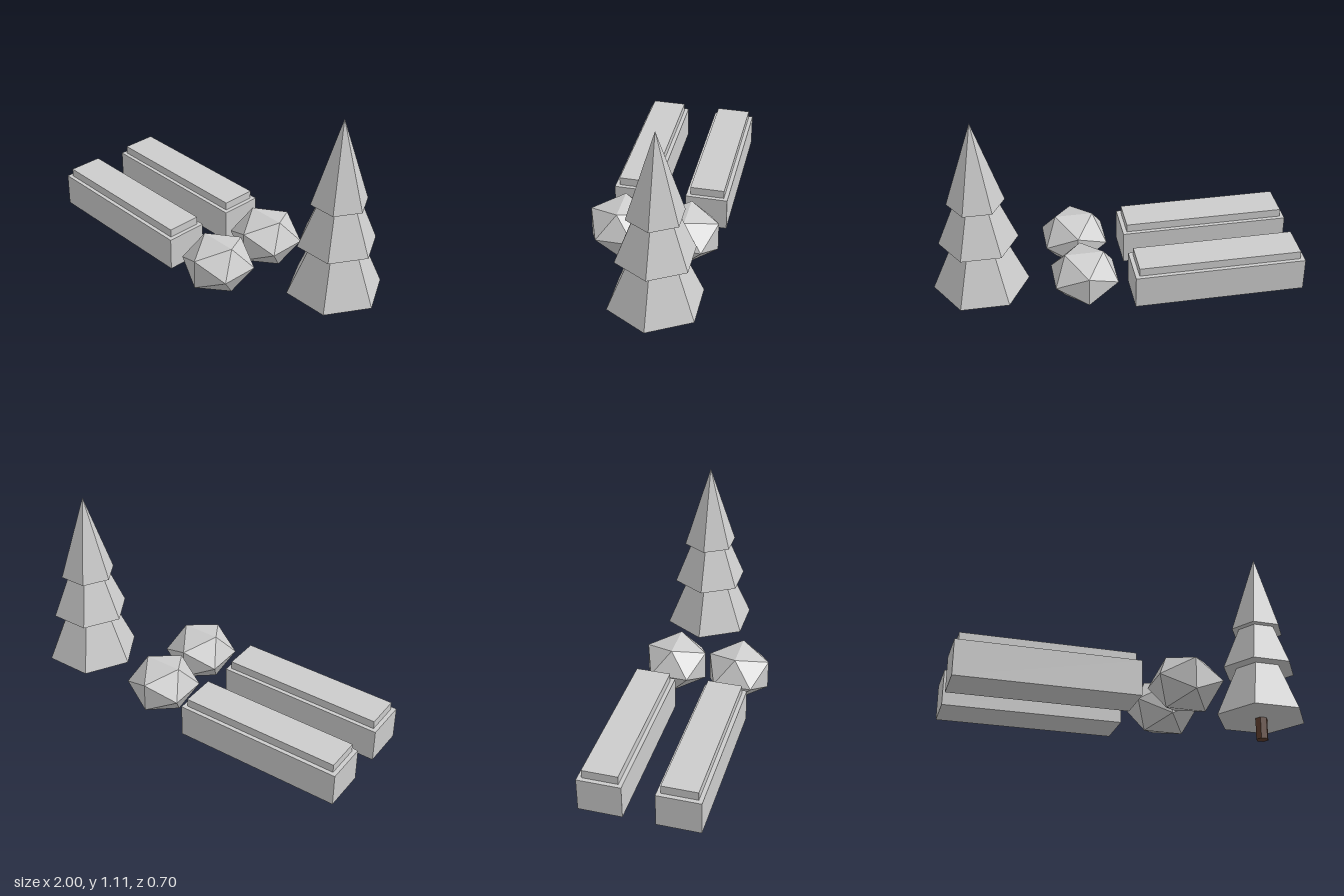
import * as THREE from 'three';

export function createModel() {
  const model = new THREE.Group();
  model.name = 'gardenSet';

  const grey = new THREE.MeshStandardMaterial({ color: 0xcccccc, flatShading: true });
  grey.name = 'paleGrey';
  const brown = new THREE.MeshStandardMaterial({ color: 0x5c3d2e, flatShading: true });
  brown.name = 'barkBrown';

  const add = (parent, name, geometry, material, x, y, z) => {
    const mesh = new THREE.Mesh(geometry, material);
    mesh.name = name;
    mesh.position.set(x, y, z);
    parent.add(mesh);
    return mesh;
  };

  // Two long planter blocks, each with a narrower slab on top
  const baseGeo = new THREE.BoxGeometry(0.934, 0.187, 0.234);
  const slabGeo = new THREE.BoxGeometry(0.888, 0.05, 0.19);
  for (const [name, x, z] of [['frontPlanter', -0.533, 0.172], ['backPlanter', -0.527, -0.235]]) {
    const planter = new THREE.Group();
    planter.name = name;
    planter.position.set(x, 0, z);
    add(planter, 'planterBase', baseGeo, grey, 0, 0.1065, 0);
    add(planter, 'planterSlab', slabGeo, grey, 0, 0.221, 0);
    model.add(planter);
  }

  // Two slightly squashed faceted bushes
  const bushGeo = new THREE.IcosahedronGeometry(0.199, 0).scale(1, 0.8, 1);
  add(model, 'frontBush', bushGeo, grey, 0.196, 0.141, 0.183);
  add(model, 'backBush', bushGeo, grey, 0.191, 0.141, -0.181);

  // Six-sided fir tree: trunk and three stacked cones, corners towards +x and -x
  const tree = new THREE.Group();
  tree.name = 'firTree';
  tree.position.set(0.742, 0, -0.131);
  tree.rotation.y = Math.PI / 6;
  add(tree, 'trunk', new THREE.CylinderGeometry(0.035, 0.035, 0.16, 6), brown, 0, 0.08, 0);
  const tiers = [
    // radius, bottom, tip
    [0.256, 0.12, 0.717],
    [0.21, 0.402, 0.915],
    [0.151, 0.642, 1.105],
  ];
  for (const [radius, bottom, tip] of tiers) {
    add(tree, 'foliageTier', new THREE.ConeGeometry(radius, tip - bottom, 6), grey, 0, (bottom + tip) / 2, 0);
  }
  model.add(tree);

  return model;
}
